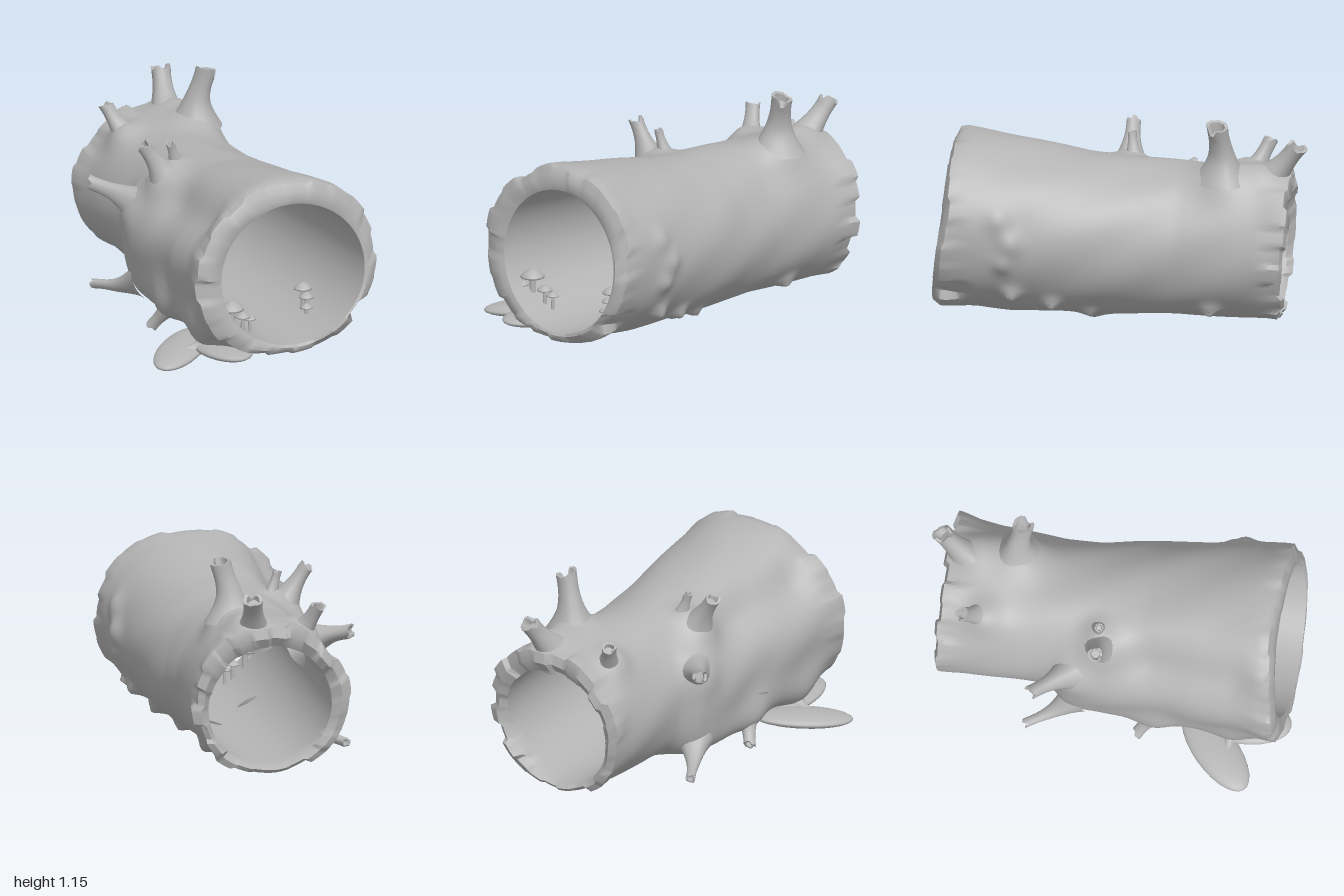
import * as THREE from 'three';
import { toCreasedNormals } from 'three/addons/utils/BufferGeometryUtils.js';

const V = (x, y, z) => new THREE.Vector3(x, y, z);
const AXIS = V(0.77, 0, 0.64), SIDE = V(0.64, 0, -0.77);
const TAU = Math.PI * 2;
const hash = n => { const v = Math.sin(n * 127.1 + 3.7) * 43758.5453; return v - Math.floor(v); };
const smooth = THREE.MathUtils.smoothstep;

// Branch stubs: path from bark to tip, foot radius, tip radius, swelling height and width
const branches = [
  [[[-0.38, 0.81, -0.53], [-0.37, 0.95, -0.54], [-0.33, 1.11, -0.56]], 0.15, 0.052, 0.09, 0.14],
  [[[-0.59, 0.76, -0.62], [-0.65, 0.88, -0.7], [-0.7, 0.99, -0.77]], 0.12, 0.048, 0.06, 0.11],
  [[[-0.67, 0.71, -0.36], [-0.75, 0.8, -0.35], [-0.82, 0.9, -0.35]], 0.11, 0.036, 0.06, 0.1],
  [[[-0.23, 0.73, 0.12], [-0.28, 0.85, 0.17], [-0.33, 0.96, 0.22]], 0.12, 0.036, 0.06, 0.11],
  [[[-0.21, 0.78, 0.04], [-0.22, 0.87, 0.07], [-0.23, 0.94, 0.09]], 0.06, 0.022, 0.03, 0.06],
  [[[-0.37, 0.56, 0.11], [-0.52, 0.62, 0.13], [-0.67, 0.66, 0.14]], 0.14, 0.036, 0.05, 0.12],
];
// Roots below the near side, and one under the trunk
const roots = [
  [[[-0.38, 0.15, 0.12], [-0.53, 0.09, 0.11], [-0.68, 0.065, 0.09]], 0.1, 0.024, 0.04, 0.12],
  [[[-0.04, 0.22, 0.38], [-0.1, 0.13, 0.41], [-0.18, 0.03, 0.42]], 0.15, 0.03, 0.04, 0.11],
  [[[0.15, 0.1, 0.35], [0.11, 0.06, 0.34], [0.06, 0.02, 0.33]], 0.11, 0.03, 0.03, 0.1],
  [[[0.1, 0.08, -0.02], [0.1, 0.05, -0.04], [0.09, 0.015, -0.05]], 0.06, 0.02, 0.025, 0.06],
  [[[0.33, 0.14, 0.6], [0.24, 0.07, 0.69], [0.16, 0.045, 0.77]], 0.14, 0.025, 0.04, 0.13],
];

// Swellings of the bark: position along axis, angle, height, width
const swellings = [
  ...[...branches, ...roots].map(([[p], , , h, w]) => {
    const v = V(...p);
    return [v.dot(AXIS), Math.atan2(v.y - 0.46, v.dot(SIDE) - 0.02), h, w];
  }),
  // knots and peeling bark on the far side
  [0.48, -0.65, 0.05, 0.045], [0.27, -0.8, 0.045, 0.04], [0.07, -1, 0.04, 0.04], [-0.57, -0.85, 0.045, 0.05],
  [0.54, 0.3, 0.03, 0.06], [0.48, 0.05, 0.04, 0.06], [0.52, -0.2, 0.03, 0.05],
];

// Piecewise linear interpolation of [position, value] pairs
function sample(keys, s) {
  if (s <= keys[0][0]) return keys[0][1];
  for (let i = 1; i < keys.length; i++) {
    const [a, va] = keys[i - 1], [b, vb] = keys[i];
    if (s <= b) return va + (vb - va) * (s - a) / (b - a);
  }
  return keys[keys.length - 1][1];
}

// Skin over rings of points, optionally joined from last ring to first
function loft(rings, { closed = false, cap = false, crease = 0.8 } = {}) {
  const n = rings[0].length, m = rings.length, pos = [], idx = [];
  rings.forEach(r => r.forEach(p => pos.push(p.x, p.y, p.z)));
  for (let i = 0; i < (closed ? m : m - 1); i++) {
    for (let j = 0; j < n; j++) {
      const k = (j + 1) % n, i2 = (i + 1) % m;
      const a = i * n + j, b = i * n + k, c = i2 * n + j, d = i2 * n + k;
      idx.push(a, b, c, b, d, c);
    }
  }
  if (cap) for (let j = 1; j < n - 1; j++) idx.push((m - 1) * n, (m - 1) * n + j, (m - 1) * n + j + 1);
  const g = new THREE.BufferGeometry();
  g.setAttribute('position', new THREE.Float32BufferAttribute(pos, 3));
  g.setIndex(idx);
  return toCreasedNormals(g, crease);
}

// Outline of the trunk along its axis
const farEdge = [[-0.98, 0.46], [-0.75, 0.43], [-0.4, 0.405], [-0.2, 0.42], [0, 0.455], [0.4, 0.505], [0.83, 0.555]];
const nearEdge = [[-0.98, -0.385], [-0.45, -0.365], [-0.1, -0.385], [0.1, -0.415], [0.4, -0.46], [0.85, -0.495]];
const topEdge = [[-0.98, 0.83], [-0.5, 0.84], [-0.15, 0.86], [0.1, 0.89], [0.35, 0.94], [0.6, 0.99], [0.75, 1.015], [0.85, 1.0]];
const lowEdge = [[-0.98, 0.015], [0, 0.02], [0.5, 0.035], [0.85, 0.075]];

// Point on the outer bark
function bark(s, a) {
  const f = sample(farEdge, s), n = sample(nearEdge, s), t = sample(topEdge, s), l = sample(lowEdge, s);
  const c = Math.cos(a), q = Math.sin(a);
  const bell = (mid, width) => Math.exp(-(((a - mid) / width) ** 2));
  const chunk = Math.floor(a / TAU * 24);
  const end = Math.max(smooth(s, 0.66, 0.85), 1 - smooth(s, -0.98, -0.8));
  let k = end * 0.05 * (hash(chunk + (s > 0 ? 0 : 50)) - 0.5);
  k += 0.006 * Math.sin(a * 5 + s * 4) * Math.sin(s * 7 + a * 2);
  // flared shoulder, sunken fold and root skirt on the near side
  k += bell(3.4, 0.7) * 0.06 * smooth(s, -0.38, -0.26) * (1 - smooth(s, -0.15, 0.35));
  k -= bell(2.5, 0.36) * 0.07 * smooth(s, -0.1, 0.2) * (1 - smooth(s, 0.6, 0.85));
  k += bell(3.85, 0.28) * 0.07 * smooth(s, -0.35, 0) * (1 - 0.5 * smooth(s, 0.6, 0.85));
  k += bell(4.2, 0.25) * 0.04 * smooth(s, 0.4, 0.7);
  for (const [s0, a0, h, w] of swellings) {
    const da = 0.43 * Math.atan2(Math.sin(a - a0), Math.cos(a - a0));
    k += h * Math.exp(-((s - s0) ** 2 + da * da) / (w * w));
  }
  const p = AXIS.clone().multiplyScalar(s);
  p.addScaledVector(SIDE, (f + n) / 2 + ((f - n) / 2 + k) * c);
  p.y = (t + l) / 2 + ((t - l) / 2 + k) * q;
  return p;
}

// Point on the smooth hollow inside
function hollow(s, a) {
  const u = (s + 0.98) / 1.85;
  const p = AXIS.clone().multiplyScalar(s);
  p.addScaledVector(SIDE, 0.03 + 0.02 * u + (0.335 + 0.085 * u) * Math.cos(a));
  p.y = 0.39 + 0.11 * u + (0.33 + 0.055 * u) * Math.sin(a);
  return p;
}

function trunkGeometry() {
  const N = 120, M = 76, rings = [];
  const ring = fn => rings.push(Array.from({ length: N }, (_, j) => fn(j / N * TAU)));
  const ragged = (a, seed) => 0.03 * (hash(Math.floor(a / TAU * 24) + seed) - 0.5);
  const front = a => 0.84 - 0.015 * Math.cos(a) - 0.05 * Math.sin(a) + ragged(a, 9);
  const lip = a => 0.865 - 0.05 * Math.sin(a);
  const back = a => -0.96 - 0.025 * Math.sin(a) + ragged(a, 70);
  for (let i = 0; i <= M; i++) ring(a => bark(back(a) + (front(a) - back(a)) * i / M, a));
  // rounded, ragged rim at the front
  ring(a => bark(front(a), a).lerp(hollow(front(a), a), 0.35).addScaledVector(AXIS, 0.022));
  ring(a => bark(front(a), a).lerp(hollow(lip(a), a), 0.75).addScaledVector(AXIS, 0.014));
  for (let i = 0; i <= 20; i++) ring(a => hollow(lip(a) + (back(a) + 0.02 - lip(a)) * i / 20, a));
  // rim at the back
  ring(a => bark(back(a), a).lerp(hollow(back(a), a), 0.5).addScaledVector(AXIS, -0.015));
  return loft(rings, { closed: true, crease: 0.8 });
}

// Broken branch: flared foot, narrow neck, ragged hollow tip
function branchGeometry(points, rBase, rTip, seed) {
  const curve = new THREE.CatmullRomCurve3(points.map(p => V(...p)));
  const N = 16, M = 14, rings = [];
  const ring = (u, r, jag) => {
    const c = curve.getPoint(u), d = curve.getTangent(u);
    const e1 = V(0, 0, 1).cross(d).normalize();
    const e2 = d.clone().cross(e1);
    rings.push(Array.from({ length: N }, (_, j) => {
      const a = j / N * TAU, w = r * (1 + 0.06 * Math.sin(a * 3 + seed));
      return c.clone().addScaledVector(e1, w * Math.cos(a)).addScaledVector(e2, w * Math.sin(a))
        .addScaledVector(d, jag * (hash(seed * 17 + Math.floor(j / 2)) - 0.4));
    }));
  };
  for (let i = 0; i <= M; i++) {
    const u = i / M;
    ring(u, rTip + (rBase - rTip) * (1 - u) ** 2.4 + 0.1 * rTip * u ** 6, u > 0.9 ? rTip * 1.1 : 0);
  }
  ring(1, rTip * 0.75, rTip * 0.9);
  ring(0.9, rTip * 0.6, 0);
  return loft(rings, { cap: true, crease: 0.9 });
}

export function createModel() {
  const model = new THREE.Group();
  const wood = new THREE.MeshStandardMaterial({ color: 0xb4b4b4 });
  wood.name = 'plain grey wood';
  const add = (name, geometry, parent = model) => {
    const mesh = new THREE.Mesh(geometry, wood);
    mesh.name = name;
    parent.add(mesh);
    return mesh;
  };

  add('hollowTrunk', trunkGeometry());
  branches.forEach(([p, a, b], i) => add('branchStub', branchGeometry(p, a, b, i + 1)));
  roots.forEach(([p, a, b], i) => add('root', branchGeometry(p, a, b, i + 20)));

  // Flat tongue-shaped root foot, and the slab joining it to the trunk
  const foot = add('rootFoot', new THREE.SphereGeometry(1, 28, 16));
  foot.scale.set(0.12, 0.04, 0.27);
  foot.position.set(0.13, 0.045, 0.715);
  foot.rotation.set(0.08, 0.08, 0);
  const slab = add('rootSlab', new THREE.SphereGeometry(1, 28, 16));
  slab.scale.set(0.26, 0.04, 0.14);
  slab.position.set(0.34, 0.07, 0.65);
  slab.rotation.set(0, -0.69, 0.06);

  // Mushrooms growing inside the front opening: x, base y, z, height, cap radius
  const mushrooms = [
    [0.42, 0.17, 0.69, 0.19, 0.065], [0.41, 0.2, 0.745, 0.09, 0.036],
    [0.45, 0.16, 0.62, 0.12, 0.042], [0.47, 0.15, 0.575, 0.1, 0.034],
    [0.625, 0.19, 0.24, 0.155, 0.05], [0.65, 0.19, 0.25, 0.105, 0.04],
    [0.66, 0.18, 0.27, 0.06, 0.034],
  ];
  for (const [x, y, z, h, r] of mushrooms) {
    const shroom = new THREE.Group();
    shroom.name = 'mushroom';
    shroom.position.set(x, y, z);
    const stem = add('mushroomStem', new THREE.CylinderGeometry(r * 0.2, r * 0.3, h - r * 0.4, 10), shroom);
    stem.position.y = (h - r * 0.4) / 2;
    const profile = [[0, -0.55], [0.6, -0.62], [1, -0.72], [0.95, -0.58], [0.6, -0.25], [0.25, -0.06], [0, 0]];
    const cap = add('mushroomCap', new THREE.LatheGeometry(
      profile.map(([a, b]) => new THREE.Vector2(a * r, b * r)), 16), shroom);
    cap.position.y = h;
    model.add(shroom);
  }
  return model;
}
